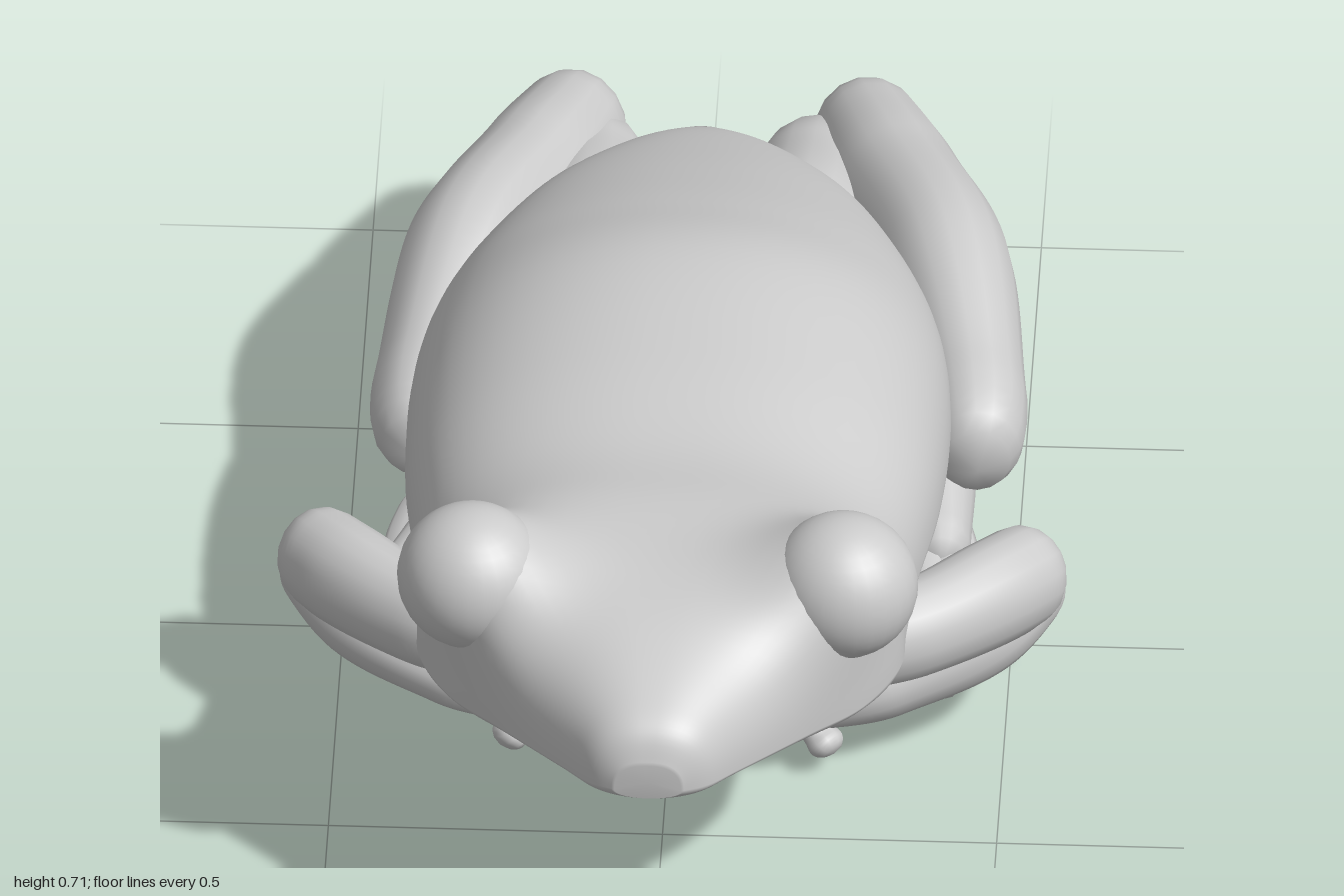
import * as THREE from 'three';
import { mergeVertices } from 'three/addons/utils/BufferGeometryUtils.js';

const material = new THREE.MeshStandardMaterial({ color: 0xcccccc, roughness: 0.8 });

function smooth(geometry) {
  geometry.deleteAttribute('uv');
  geometry.deleteAttribute('normal');
  const merged = mergeVertices(geometry, 1e-5);
  merged.computeVertexNormals();
  return merged;
}

function addMesh(parent, geometry, name) {
  const mesh = new THREE.Mesh(geometry, material);
  mesh.name = name;
  parent.add(mesh);
  return mesh;
}

// Round-ended limb through [x, y, z, radius] points; tall stretches it vertically.
function limb(points, tall = 1, segments = 40, sides = 16) {
  const curve = new THREE.CatmullRomCurve3(points.map(p => new THREE.Vector3(p[0], p[1], p[2])), false, 'centripetal');
  const length = curve.getLength();
  const geometry = new THREE.TubeGeometry(curve, segments, 1, sides);
  const pos = geometry.attributes.position;
  const v = new THREE.Vector3();
  for (let i = 0; i <= segments; i++) {
    const u = i / segments;
    const centre = curve.getPointAt(u);
    const t = curve.getUtoTmapping(u) * (points.length - 1);
    const k = Math.min(Math.floor(t), points.length - 2);
    const f = THREE.MathUtils.smoothstep(t - k, 0, 1);
    let r = THREE.MathUtils.lerp(points[k][3], points[k + 1][3], f);
    const d = Math.min(u, 1 - u) * length;
    if (d < r) r *= Math.sqrt(Math.max(0, 1 - (1 - d / r) ** 2));
    for (let j = 0; j <= sides; j++) {
      const n = i * (sides + 1) + j;
      v.fromBufferAttribute(pos, n).sub(centre).multiplyScalar(r);
      pos.setXYZ(n, centre.x + v.x, centre.y + v.y * tall, centre.z + v.z);
    }
  }
  return smooth(geometry);
}

// Torso and head sections: z, half width, bottom, widest height, top, lower squareness, upper squareness.
const sections = [
  [1.0, 0.05, 0.44, 0.455, 0.50, 1, 0.8],
  [0.975, 0.09, 0.425, 0.45, 0.545, 1, 0.8],
  [0.92, 0.135, 0.41, 0.44, 0.575, 1.1, 0.85],
  [0.80, 0.235, 0.37, 0.42, 0.615, 1.2, 0.85],
  [0.70, 0.31, 0.31, 0.40, 0.63, 1.3, 0.85],
  [0.60, 0.36, 0.20, 0.40, 0.635, 1.35, 0.75],
  [0.50, 0.365, 0.15, 0.39, 0.635, 1.35, 0.75],
  [0.35, 0.375, 0.13, 0.38, 0.62, 1.3, 0.85],
  [0.15, 0.40, 0.125, 0.37, 0.645, 1.1, 0.9],
  [-0.10, 0.405, 0.105, 0.34, 0.655, 0.95, 0.95],
  [-0.30, 0.38, 0.105, 0.32, 0.59, 0.95, 0.95],
  [-0.50, 0.315, 0.14, 0.31, 0.505, 1, 0.95],
  [-0.65, 0.24, 0.17, 0.31, 0.435, 1, 0.95],
  [-0.78, 0.145, 0.20, 0.29, 0.37, 1, 0.95],
  [-0.85, 0.06, 0.24, 0.28, 0.325, 1, 0.95],
];

// Smoothly interpolated value of every section column.
function sampleSection(t) {
  const k = Math.min(Math.floor(t), sections.length - 2);
  const f = t - k;
  const at = i => sections[THREE.MathUtils.clamp(i, 0, sections.length - 1)];
  return at(k).map((b, c) => {
    const a = at(k - 1)[c], d = at(k + 1)[c], e = at(k + 2)[c];
    return b + 0.5 * f * (d - a + f * (2 * a - 5 * b + 4 * d - e + f * (3 * (b - d) + e - a)));
  });
}

// Raises a soft mound of skin around each eye.
function eyeMound(x, y, z) {
  const side = Math.sign(x);
  const dx = Math.abs(x) - 0.265, dy = y - 0.6, dz = z - 0.67;
  const along = dx * 0.5 + dy * 0.866;
  const away = dx * dx + dy * dy + dz * dz - along * along;
  const lift = 0.14 * Math.exp(-away / 0.0115) * THREE.MathUtils.smoothstep(y, 0.4, 0.54);
  return [x + side * lift * 0.4, y + lift * 0.87, z];
}

function bodyGeometry() {
  const rows = (sections.length - 1) * 6, sides = 72;
  const vertices = [], indices = [];
  for (let i = 0; i <= rows; i++) {
    const [z, w, low, mid, high, lowPow, highPow] = sampleSection(i / 6);
    for (let j = 0; j < sides; j++) {
      const a = (j / sides) * Math.PI * 2;
      const c = Math.cos(a), s = Math.sin(a);
      const power = s < 0 ? lowPow : highPow;
      const height = s < 0 ? mid - low : high - mid;
      vertices.push(...eyeMound(w * Math.sign(c) * Math.abs(c) ** power, mid + height * Math.sign(s) * Math.abs(s) ** power, z));
    }
  }
  for (let i = 0; i < rows; i++) {
    for (let j = 0; j < sides; j++) {
      const a = i * sides + j, b = i * sides + (j + 1) % sides;
      indices.push(a, a + sides, b, b, a + sides, b + sides);
    }
  }
  // Close the snout and the rump
  for (const [row, z, y] of [[0, 1.0, 0.47], [rows, -0.855, 0.28]]) {
    const centre = vertices.length / 3;
    vertices.push(0, y, z);
    for (let j = 0; j < sides; j++) {
      const a = row * sides + j, b = row * sides + (j + 1) % sides;
      if (row === 0) indices.push(centre, a, b);
      else indices.push(centre, b, a);
    }
  }
  const geometry = new THREE.BufferGeometry();
  geometry.setAttribute('position', new THREE.Float32BufferAttribute(vertices, 3));
  geometry.setIndex(indices);
  geometry.computeVertexNormals();
  return geometry;
}

export function createModel() {
  const model = new THREE.Group();
  model.name = 'frog';
  addMesh(model, bodyGeometry(), 'body');

  for (const side of [1, -1]) {
    const label = side > 0 ? 'left' : 'right';
    const shift = side > 0 ? 0.03 : -0.015;
    const mirror = (points, dx = 0) => points.map(([x, y, z, r]) => [side * (x + dx), y, z, r]);

    // Bulging eye set in the mound
    const eye = addMesh(model, new THREE.SphereGeometry(1, 28, 20), label + 'Eye');
    eye.scale.set(0.112, 0.112, 0.11);
    eye.position.set(side * 0.278, 0.6, 0.665);

    // Front leg: shoulder to elbow, then in to the wrist
    const front = new THREE.Group();
    front.name = label + 'FrontLeg';
    model.add(front);
    addMesh(front, limb(mirror([[0.22, 0.27, 0.4, 0.06], [0.37, 0.275, 0.33, 0.068],
      [0.48, 0.27, 0.23, 0.073], [0.56, 0.25, 0.12, 0.07]]), 1.15), 'upperArm');
    addMesh(front, limb(mirror([[0.565, 0.25, 0.115, 0.06], [0.47, 0.19, 0.21, 0.068],
      [0.33, 0.14, 0.28, 0.055], [0.18, 0.1, 0.3, 0.042]])), 'forearm');
    for (const [x, y, z] of [[0.01, 0.055, 0.27], [0.25, 0.045, 0.34], [0.47, 0.09, 0.12], [0.14, 0.05, 0.13]]) {
      addMesh(front, limb(mirror([[0.2, 0.095, 0.29, 0.038], [(0.2 + x) / 2, 0.065, (0.29 + z) / 2, 0.026],
        [x, y, z, 0.036]]), 0.85, 20, 10), 'finger');
    }

    // Hind leg: hip, shank folded over the foot, and a deep heel joining them
    const hind = new THREE.Group();
    hind.name = label + 'HindLeg';
    model.add(hind);
    addMesh(hind, limb(mirror([[0.12, 0.28, -0.4, 0.1], [0.16, 0.27, -0.65, 0.11],
      [0.17, 0.245, -0.82, 0.095], [0.18, 0.21, -0.96, 0.07]])), 'hip');
    addMesh(hind, limb(mirror([[0.415, 0.25, -0.1, 0.066], [0.4, 0.275, -0.25, 0.082],
      [0.345, 0.32, -0.52, 0.1], [0.265, 0.285, -0.75, 0.1], [0.19, 0.25, -0.99, 0.082]], shift), 1.2), 'shank');
    addMesh(hind, limb(mirror([[0.37, 0.2, -0.3, 0.05], [0.34, 0.22, -0.52, 0.08],
      [0.27, 0.2, -0.76, 0.092], [0.19, 0.2, -1.0, 0.085]], shift), 1.6), 'heel');
    addMesh(hind, limb(mirror([[0.2, 0.17, -0.97, 0.075], [0.235, 0.145, -0.84, 0.088],
      [0.29, 0.13, -0.6, 0.085], [0.335, 0.1, -0.35, 0.065], [0.36, 0.065, -0.1, 0.045]], shift), 1.2), 'foot');
    addMesh(hind, limb(mirror([[0.34, 0.065, -0.3, 0.07], [0.36, 0.055, -0.15, 0.085], [0.38, 0.045, 0.03, 0.08]]), 0.3), 'webbing');
    for (const [x, y, z] of [[0.495, 0.045, 0.03], [0.4, 0.04, 0.13], [0.26, 0.04, 0.1], [0.18, 0.06, -0.08]]) {
      addMesh(hind, limb(mirror([[0.35, 0.075, -0.2, 0.042], [(0.35 + x) / 2, 0.055, (z - 0.2) / 2, 0.032],
        [(0.35 + 4 * x) / 5, y, (4 * z - 0.2) / 5, 0.042], [x, y, z + 0.04, 0.044]]), 0.8, 24, 10), 'toe');
    }
  }
  return model;
}
